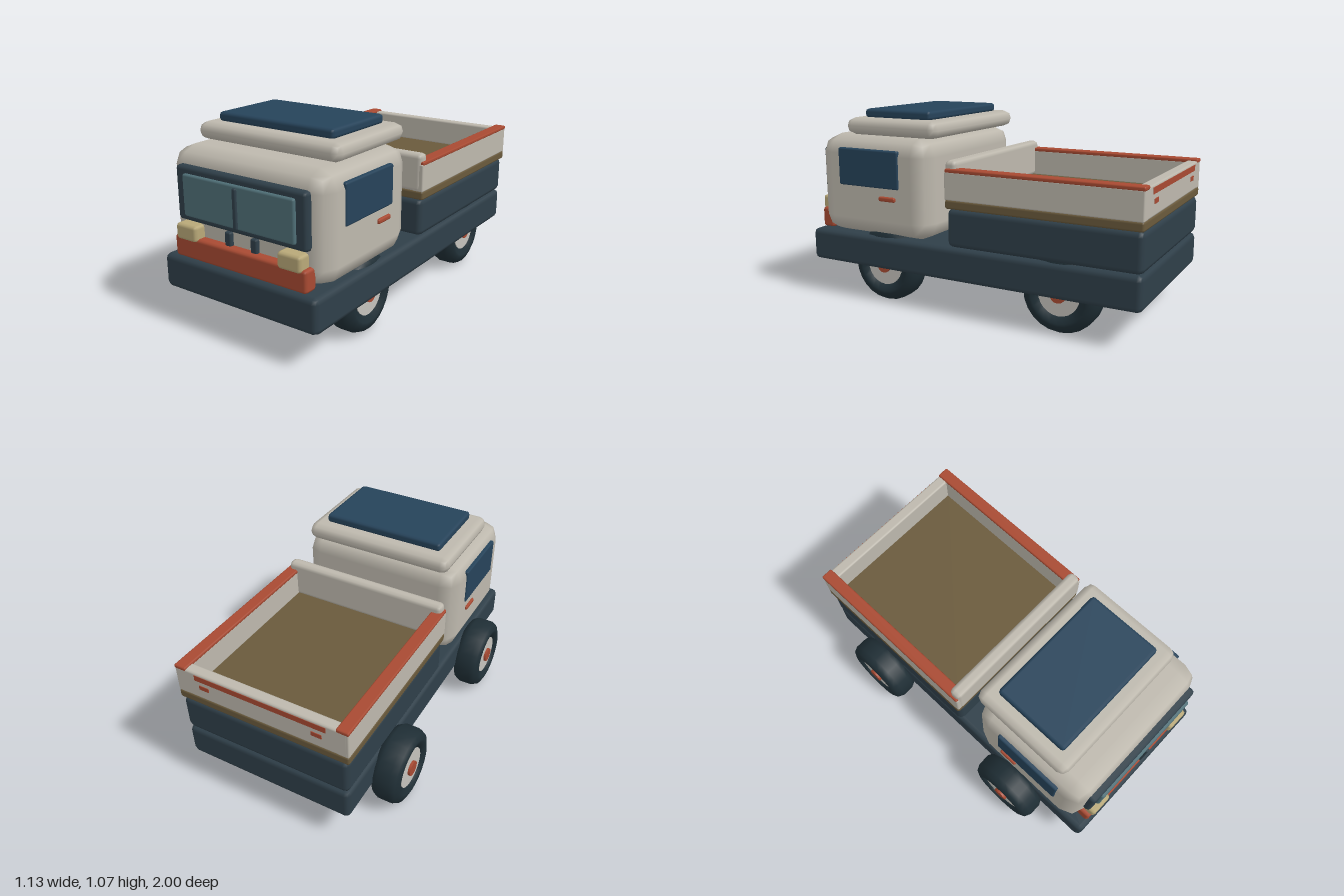
import * as THREE from 'three';
import { RoundedBoxGeometry } from 'three/addons/geometries/RoundedBoxGeometry.js';

const mat = (color) => new THREE.MeshStandardMaterial({ color });
const M = {
  dark: mat(0x2f3f49), body: mat(0xbdb8ad), red: mat(0xa84a32), wood: mat(0x6a5a3c),
  glass: mat(0x507078), navy: mat(0x26435a), lamp: mat(0xb8a878), tyre: mat(0x1f2e35), hub: mat(0xc4c2bc),
};
const CX = 0.0625; // centre line of the body

export function createModel() {
  const truck = new THREE.Group();
  truck.name = 'truck';

  // Rounded box given by its limits on each axis
  function box(name, material, [x0, x1], [y0, y1], [z0, z1], radius = 0.01) {
    const geo = new RoundedBoxGeometry(x1 - x0, y1 - y0, z1 - z0, 1, radius);
    const mesh = new THREE.Mesh(geo, material);
    mesh.name = name;
    mesh.position.set((x0 + x1) / 2, (y0 + y1) / 2, (z0 + z1) / 2);
    truck.add(mesh);
    return mesh;
  }
  // The same box on both sides of the centre line, by distance from it
  function pair(name, material, [a, b], y, z, radius) {
    box(name + 'Left', material, [CX + a, CX + b], y, z, radius);
    box(name + 'Right', material, [CX - b, CX - a], y, z, radius);
  }
  const wide = [-0.425, 0.55];

  // Chassis and load bed
  box('chassis', M.dark, wide, [0.19, 0.375], [-0.997, 1], 0.03);
  box('bedBase', M.dark, wide, [0.378, 0.587], [-0.997, 0.07], 0.03);
  box('bedFloor', M.wood, [-0.435, 0.56], [0.587, 0.637], [-0.998, 0.073], 0.012);
  pair('bedSide', M.body, [0.432, 0.497], [0.633, 0.785], [-0.997, 0.075], 0.008);
  pair('bedRail', M.red, [0.43, 0.499], [0.778, 0.8], [-1, 0.07], 0.008);
  box('bedFrontWall', M.body, wide, [0.63, 0.84], [0.008, 0.08], 0.025);
  box('tailgate', M.body, [-0.43, 0.555], [0.633, 0.79], [-0.998, -0.935], 0.012);
  box('tailgateStripe', M.red, [CX - 0.378, CX + 0.378], [0.745, 0.778], [-1, -0.985], 0.001);
  pair('tailLight', M.red, [0.295, 0.355], [0.695, 0.722], [-1.001, -0.985], 0.003);

  // Cab and roof
  box('cab', M.body, wide, [0.37, 0.933], [0.195, 0.928], 0.1);
  box('roof', M.body, [-0.38, 0.505], [0.932, 1.026], [0.165, 0.765], 0.045);
  box('roofPanel', M.navy, [-0.298, 0.422], [1.022, 1.073], [0.248, 0.685], 0.018);

  // Cab front
  box('windscreenFrame', M.dark, [-0.345, 0.47], [0.565, 0.85], [0.9, 0.957], 0.02);
  box('windscreen', M.glass, [-0.287, 0.412], [0.595, 0.815], [0.94, 0.972], 0.012);
  box('windscreenDivider', M.dark, [0.05, 0.075], [0.598, 0.803], [0.955, 0.983], 0.008);
  box('bumper', M.red, [-0.355, 0.48], [0.375, 0.49], [0.9, 0.98], 0.016);
  pair('headlight', M.lamp, [0.257, 0.395], [0.472, 0.558], [0.91, 0.992], 0.018);
  pair('vent', M.dark, [0.062, 0.103], [0.47, 0.56], [0.91, 0.95], 0.01);

  // Cab sides
  pair('sideWindow', M.navy, [0.465, 0.496], [0.655, 0.865], [0.37, 0.775], 0.01);
  pair('doorHandle', M.red, [0.47, 0.501], [0.585, 0.612], [0.393, 0.503], 0.01);

  // Wheels: closed tyre profile turned about the axle, hub facing +y before turning
  const profile = [
    [0.112, -0.06], [0.15, -0.08], [0.165, -0.08], [0.195, -0.066], [0.21, -0.035],
    [0.21, 0.035], [0.195, 0.066], [0.165, 0.08], [0.15, 0.08], [0.112, 0.06], [0.112, -0.06],
  ].map(([r, h]) => new THREE.Vector2(r, h));
  const tyreGeo = new THREE.LatheGeometry(profile, 24);
  function wheel(name, x, z, side) {
    const g = new THREE.Group();
    g.name = name;
    const add = (part, geo, material, y) => {
      const mesh = new THREE.Mesh(geo, material);
      mesh.name = part;
      mesh.position.y = y;
      g.add(mesh);
    };
    add('tyre', tyreGeo, M.tyre, 0);
    add('innerDisc', new THREE.CylinderGeometry(0.113, 0.113, 0.06, 24), M.tyre, 0);
    add('hubDisc', new THREE.CylinderGeometry(0.113, 0.113, 0.04, 24), M.hub, 0.046);
    add('hubCap', new THREE.CylinderGeometry(0.042, 0.042, 0.02, 16), M.red, 0.07);
    g.rotation.z = -side * Math.PI / 2;
    g.position.set(x, 0.21, z);
    truck.add(g);
  }
  for (const [end, z] of [['front', 0.51], ['rear', -0.56]]) {
    wheel(end + 'WheelLeft', 0.447, z, 1);
    wheel(end + 'WheelRight', -0.485, z, -1);
  }
  return truck;
}
